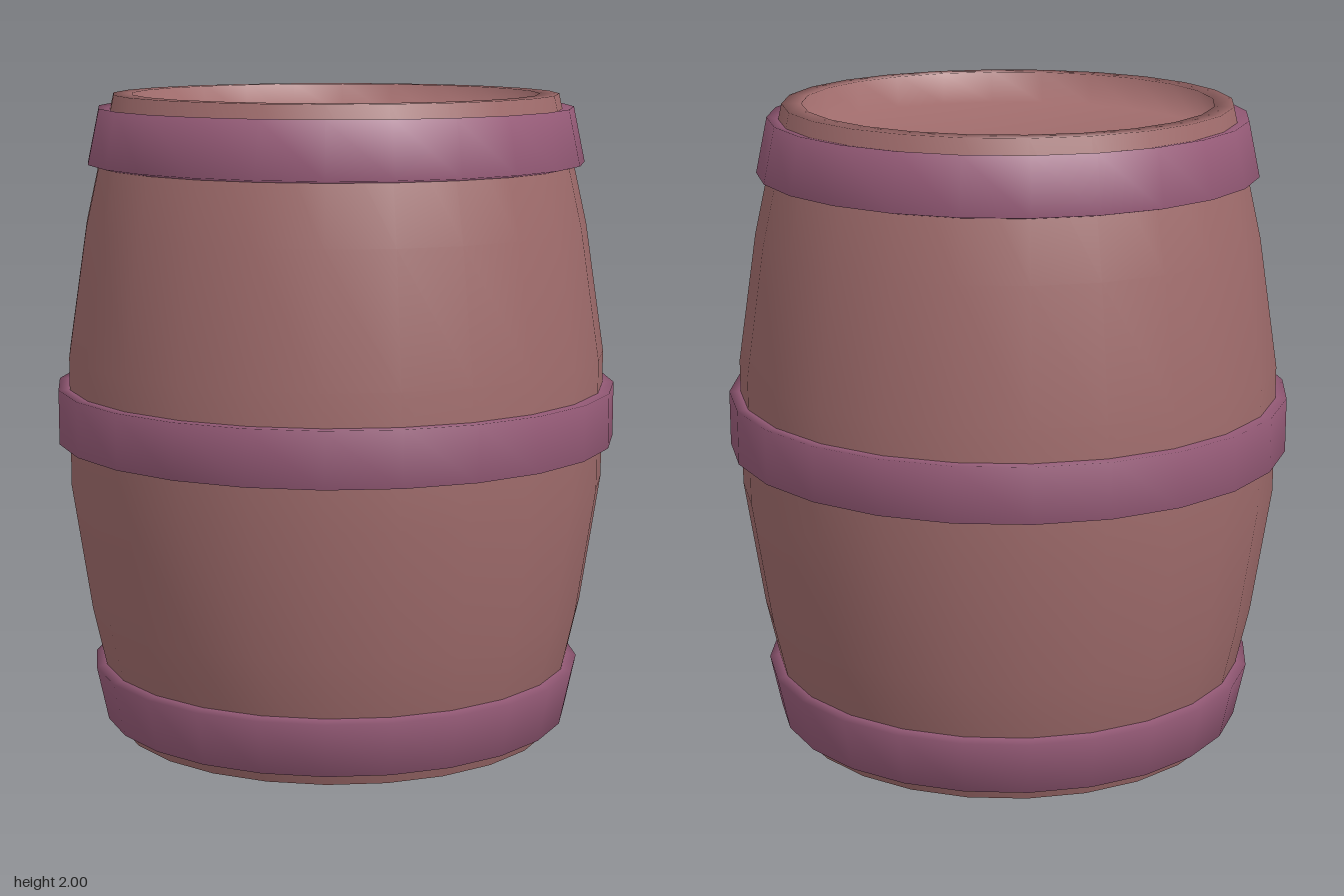
import * as THREE from 'three';
import { mergeVertices } from 'three/addons/utils/BufferGeometryUtils.js';

const SIDES = 24;

const wood = new THREE.MeshStandardMaterial({ color: 0xa06c6c });
wood.name = 'wood';
const hoopPaint = new THREE.MeshStandardMaterial({ color: 0x985c79 });
hoopPaint.name = 'hoop purple';

// Turns a [radius, height] profile, listed from the bottom up, into a round part
// whose smooth normals are weighted by face area
function turned(name, profile, material) {
  const points = profile.map(([r, y]) => new THREE.Vector2(r, y));
  let geometry = new THREE.LatheGeometry(points, SIDES);
  geometry.deleteAttribute('uv');
  geometry.deleteAttribute('normal');
  geometry = mergeVertices(geometry, 1e-4);
  geometry.computeVertexNormals();
  const mesh = new THREE.Mesh(geometry, material);
  mesh.name = name;
  return mesh;
}

export function createModel() {
  const barrel = new THREE.Group();
  barrel.name = 'barrel';

  // Bulging body with raised rims around sunken flat ends
  const half = [[0.84, 0.2], [0.78, 0.6], [0.69, 1], [0.63, 1], [0.63, 0.9], [0, 0.9]];
  const upper = half.map(([r, y]) => [r, 1 + y]);
  const lower = half.map(([r, y]) => [r, 1 - y]).reverse();
  barrel.add(turned('body', [...lower, ...upper], wood));

  // End hoops stand square to the sloping staves; the middle hoop is upright
  const endHoop = [[0.685, 0.05], [0.736, 0.04], [0.772, 0.21], [0.73, 0.22]];
  const topHoop = endHoop.map(([r, y]) => [r, 2 - y]).reverse();
  const middleHoop = [[0.835, 0.93], [0.875, 0.93], [0.875, 1.1], [0.835, 1.1]];
  barrel.add(
    turned('bottomHoop', endHoop, hoopPaint),
    turned('middleHoop', middleHoop, hoopPaint),
    turned('topHoop', topHoop, hoopPaint),
  );
  return barrel;
}
